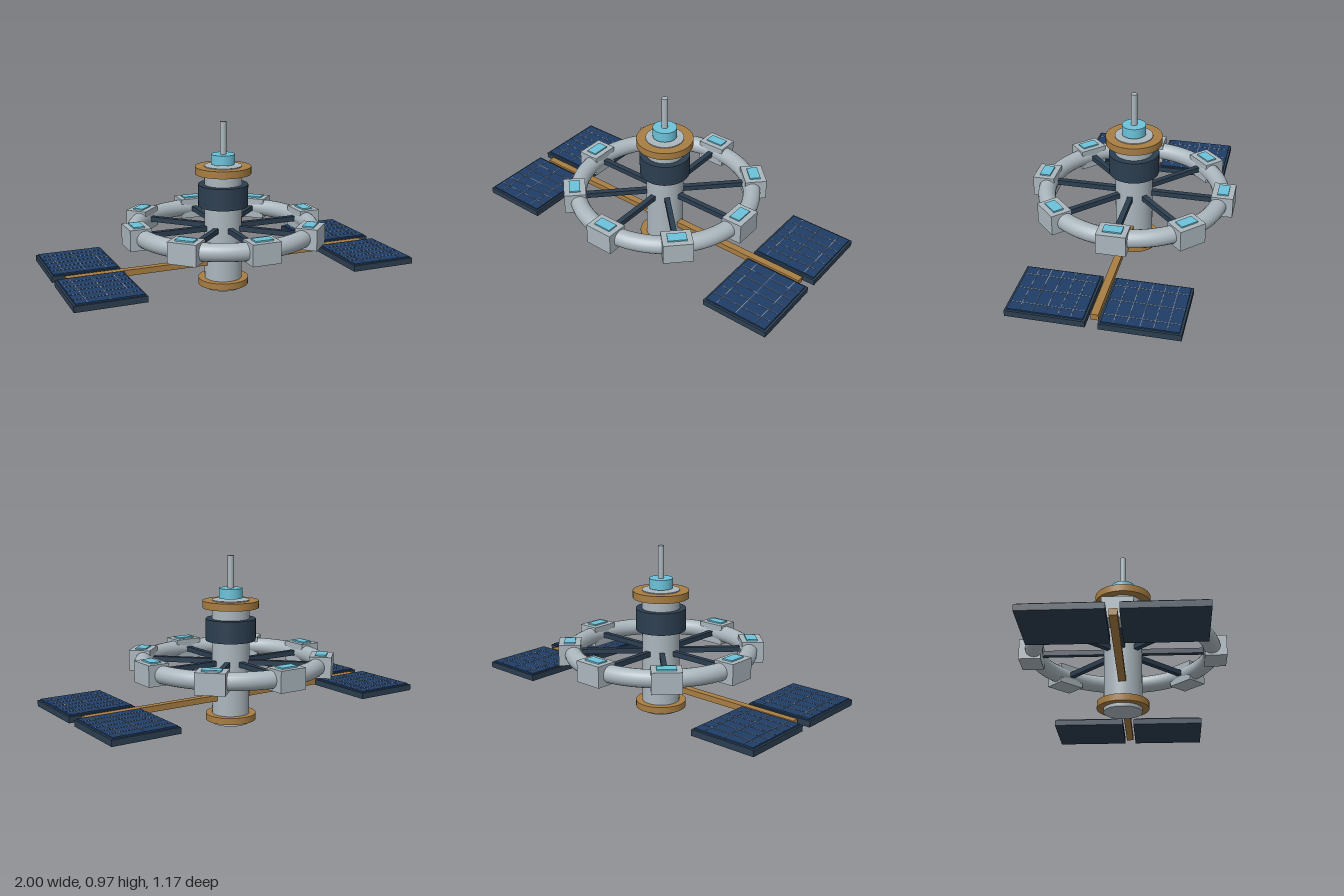
import * as THREE from 'three';

const mat = (color) => new THREE.MeshStandardMaterial({ color });

export function createModel() {
  const station = new THREE.Group();
  station.name = 'spaceStation';
  const hull = mat(0xaab6bd), dark = mat(0x2c3e50), gold = mat(0xa87d42);
  const cyan = mat(0x6cc3da), cell = mat(0x1f3d66), wire = mat(0x8d9298);

  const add = (parent, name, geometry, material, x = 0, y = 0, z = 0) => {
    const mesh = new THREE.Mesh(geometry, material);
    mesh.name = name;
    mesh.position.set(x, y, z);
    parent.add(mesh);
    return mesh;
  };
  const box = (parent, name, material, w, h, d, x, y, z) =>
    add(parent, name, new THREE.BoxGeometry(w, h, d), material, x, y, z);
  const drum = (name, material, r, y0, y1) =>
    add(station, name, new THREE.CylinderGeometry(r, r, y1 - y0, 40), material, 0, (y0 + y1) / 2, 0);

  // Central hub, stacked along y
  drum('hub', hull, 0.108, 0, 0.722);
  drum('lowerCollar', gold, 0.146, 0.02, 0.058);
  drum('darkBand', dark, 0.144, 0.487, 0.613);
  drum('upperCollar', gold, 0.161, 0.675, 0.717);
  drum('beacon', cyan, 0.068, 0.73, 0.787);
  drum('mast', hull, 0.018, 0.76, 0.973);

  // Habitat ring
  const ring = add(station, 'habitatRing', new THREE.TorusGeometry(0.505, 0.05, 20, 96), hull, 0, 0.36, 0);
  ring.rotation.x = Math.PI / 2;

  // Eight spokes, each ending in a pod with a skylight
  for (let i = 0; i < 8; i++) {
    const sector = new THREE.Group();
    sector.name = 'ringSector' + (i + 1);
    sector.rotation.y = (i * Math.PI) / 4;
    box(sector, 'spoke', dark, 0.38, 0.03, 0.03, 0.28, 0.36, 0);
    box(sector, 'pod', hull, 0.125, 0.12, 0.165, 0.5225, 0.36, 0);
    box(sector, 'skylight', cyan, 0.062, 0.012, 0.105, 0.5225, 0.422, 0);
    station.add(sector);
  }

  // Boom carrying the solar wings
  box(station, 'solarBoom', gold, 1.866, 0.034, 0.041, 0, 0.16, 0);

  // Four solar panels with a raised cell sheet and grid wires
  for (const sx of [-1, 1]) {
    for (const sz of [-1, 1]) {
      const panel = new THREE.Group();
      panel.name = (sx > 0 ? 'left' : 'right') + (sz > 0 ? 'Front' : 'Back') + 'SolarPanel';
      panel.position.set(sx * 0.806, 0.16, sz * 0.245);
      box(panel, 'panelFrame', dark, 0.388, 0.034, 0.424, 0, 0, 0);
      box(panel, 'cellSheet', cell, 0.364, 0.008, 0.4, 0, 0.021, 0);
      for (let i = -1; i <= 1; i++)
        box(panel, 'lengthwiseWire', wire, 0.003, 0.002, 0.39, i * 0.12, 0.0255, 0);
      for (let i = -2; i <= 2; i++)
        box(panel, 'crosswiseWire', wire, 0.355, 0.002, 0.003, 0, 0.0255, i * 0.068);
      station.add(panel);
    }
  }
  return station;
}
